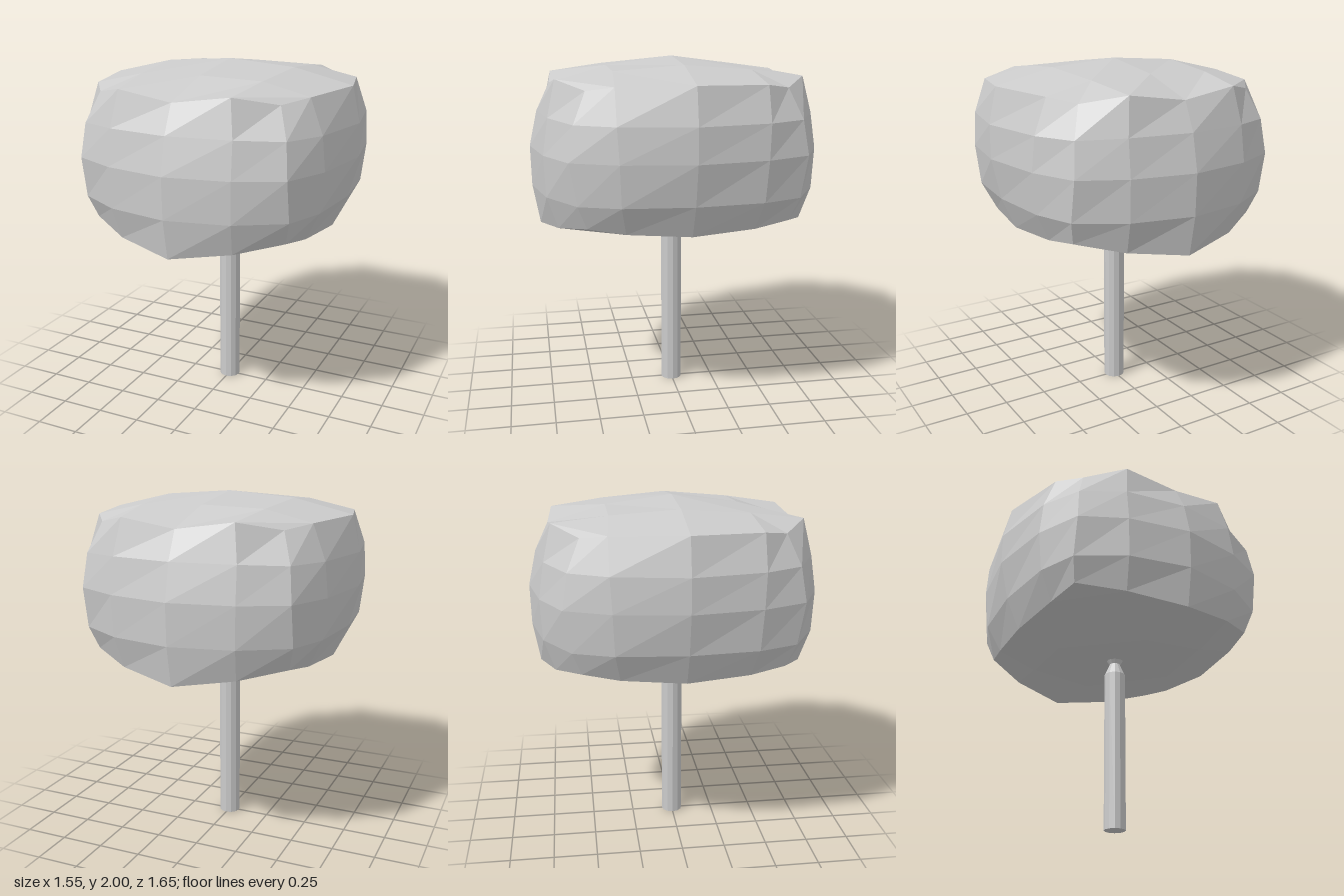
import * as THREE from 'three';

const material = new THREE.MeshStandardMaterial({ color: 0xcccccc, flatShading: true });

// Columns of one quadrant of the crown, walked from front centre to side centre.
// Each column lists [x, y, z] from bottom to top.
const columns = {
  '0,2': [[0, 1.045, 0.78], [0, 1.27, 0.82], [0, 1.5, 0.825], [0, 1.7, 0.78], [0, 1.855, 0.705]],
  '1,2': [[0.33, 1.09, 0.69], [0.35, 1.27, 0.75], [0.355, 1.5, 0.76], [0.35, 1.7, 0.73], [0.32, 1.9, 0.685]],
  '2,2': [[0.57, 1.14, 0.55], [0.605, 1.27, 0.6], [0.605, 1.5, 0.64], [0.585, 1.69, 0.61], [0.525, 1.855, 0.54]],
  '2,1': [[0.61, 1.11, 0.35], [0.69, 1.27, 0.38], [0.715, 1.5, 0.39], [0.7, 1.69, 0.4], [0.63, 1.88, 0.4]],
  '2,0': [[0.645, 1.09, 0], [0.725, 1.27, 0], [0.775, 1.5, 0], [0.775, 1.69, 0], [0.73, 1.89, 0]],
};

// Inner points of the bottom and top faces: [x, bottom y, top y, z]
const caps = {
  '0,0': [0, 1.04, 2.0, 0],
  '1,0': [0.39, 1.03, 1.97, 0],
  '0,1': [0, 1.02, 1.95, 0.38],
  '1,1': [0.36, 1.05, 1.94, 0.38],
};

// Crown: a 4 x 4 x 4 box grid bulged into a mirrored, faceted ball
function crownGeometry() {
  const geometry = new THREE.BoxGeometry(4, 4, 4, 4, 4, 4);
  const pos = geometry.attributes.position;
  for (let n = 0; n < pos.count; n++) {
    const i = Math.round(pos.getX(n));
    const j = Math.round(pos.getY(n)) + 2;
    const k = Math.round(pos.getZ(n));
    const key = `${Math.abs(i)},${Math.abs(k)}`;
    let p;
    if (columns[key]) {
      p = columns[key][j];
    } else {
      const [x, low, high, z] = caps[key];
      p = [x, j === 0 ? low : high, z];
    }
    pos.setXYZ(n, Math.sign(i) * p[0], p[1], Math.sign(k) * p[2]);
  }
  geometry.computeVertexNormals();
  return geometry;
}

// Trunk: a straight post pinched at the neck, flaring slightly into the crown
function trunkGeometry() {
  const profile = [[0, 0], [0.062, 0], [0.062, 0.945], [0.032, 1.015], [0.055, 1.05], [0, 1.06]];
  return new THREE.LatheGeometry(profile.map(([r, y]) => new THREE.Vector2(r, y)), 12);
}

export function createModel() {
  const tree = new THREE.Group();
  tree.name = 'tree';

  const crown = new THREE.Mesh(crownGeometry(), material);
  crown.name = 'crown';
  const trunk = new THREE.Mesh(trunkGeometry(), material);
  trunk.name = 'trunk';

  tree.add(crown, trunk);
  return tree;
}
